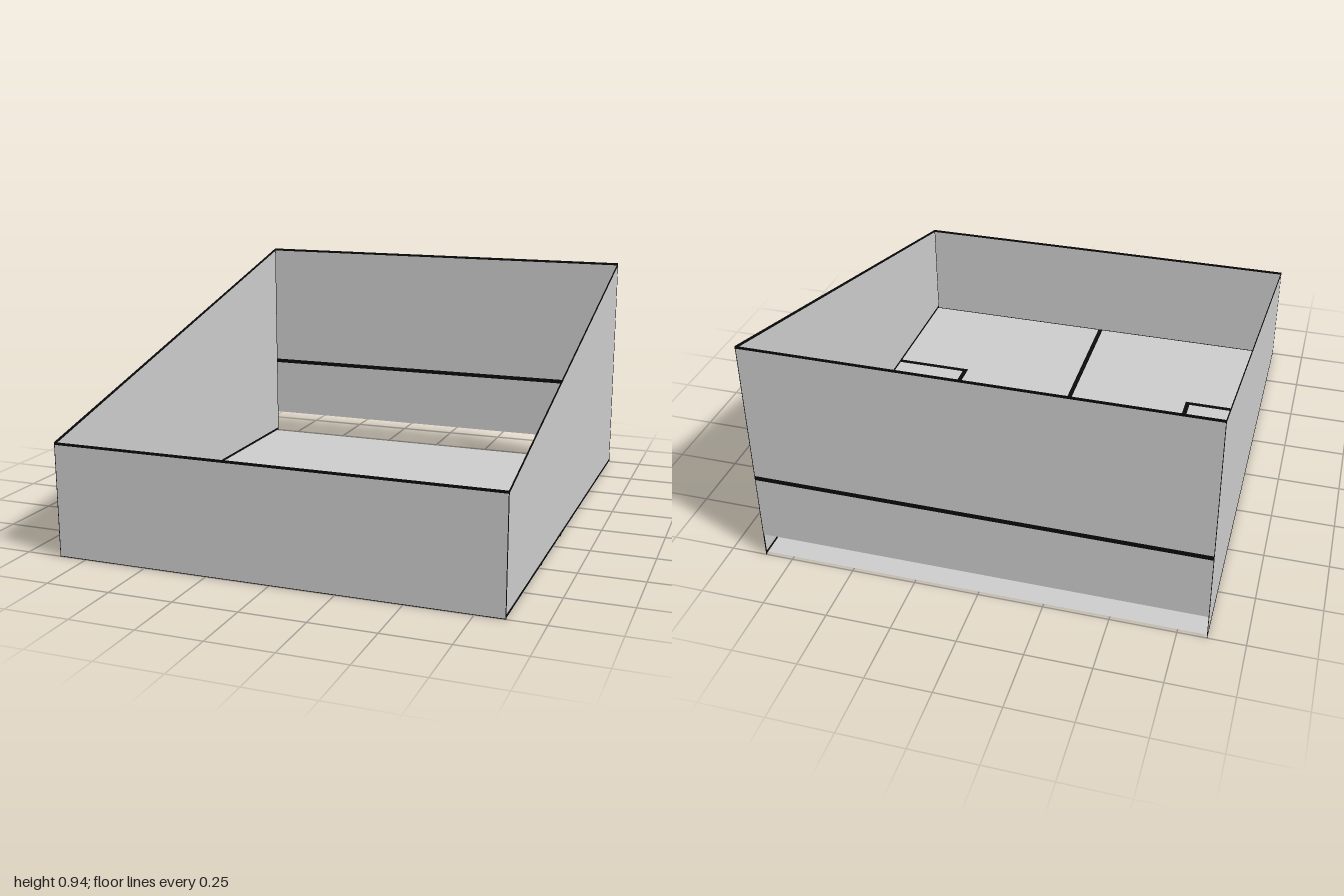
import * as THREE from 'three';

const W = 0.86, FRONT = 0.445, BACK = 0.945, GAP = 0.1;

export function createModel() {
  const model = new THREE.Group();
  const grey = new THREE.MeshStandardMaterial({ color: 0xcccccc, side: THREE.DoubleSide });
  const dark = new THREE.MeshStandardMaterial({ color: 0x0a0a0a });

  const add = (name, geometry, material) => {
    const mesh = new THREE.Mesh(geometry, material);
    mesh.name = name;
    model.add(mesh);
    return mesh;
  };
  // Thin dark seam, a very flat box
  const seam = (name, w, h, d, x, y, z) =>
    add(name, new THREE.BoxGeometry(w, h, d).translate(x, y, z), dark);
  const T = 0.002;

  // Floor, stopping just short of the back wall
  add('floor', new THREE.PlaneGeometry(2 * W, 1.985).rotateX(-Math.PI / 2).translate(0, 0.001, 0.0075), grey);

  // Front wall, and back wall with an open slot beneath it
  add('frontWall', new THREE.PlaneGeometry(2 * W, FRONT).translate(0, FRONT / 2, 0.999), grey);
  add('backWall', new THREE.PlaneGeometry(2 * W, BACK - GAP)
    .rotateY(Math.PI).translate(0, (BACK + GAP) / 2, -0.999), grey);

  // Sloping side walls with dark borders
  const outline = [[-1, 0], [1, 0], [1, FRONT], [-1, BACK]].map(p => new THREE.Vector2(...p));
  const slope = Math.atan2(BACK - FRONT, 2);
  for (const [side, s] of [['left', 1], ['right', -1]]) {
    const wall = new THREE.ShapeGeometry(new THREE.Shape(outline)).rotateY(-Math.PI / 2);
    add(side + 'SideWall', wall.translate(s * (W - 0.001), 0, 0), grey);
    const x = s * (W - 0.001);
    seam(side + 'BottomBorder', T, 0.01, 2, x, 0.009, 0);
    seam(side + 'FrontBorder', T, FRONT, 0.005, x, FRONT / 2, 0.9975);
    seam(side + 'BackBorder', T, BACK, 0.005, x, BACK / 2, -0.9975);
    const top = seam(side + 'TopBorder', T, 0.01, Math.hypot(2, BACK - FRONT), 0, 0, 0);
    top.rotation.x = slope;
    top.position.set(x, (FRONT + BACK) / 2 - 0.005, 0);

    // Corner cut-out seams on the floor
    seam(side + 'NotchSide', 0.02, T, 0.36, s * 0.535, 0.001, 0.29);
    seam(side + 'NotchFront', W - 0.525, T, 0.02, s * (W + 0.525) / 2, 0.001, 0.46);
  }

  // Seams across the floor and walls
  seam('floorCrossSeam', 2 * W, T, 0.02, 0, 0.001, 0.12);
  seam('floorCentreSeam', 0.02, T, 0.88, 0, 0.001, 0.56);
  seam('floorFrontBorder', 2 * W, T, 0.005, 0, 0.001, 0.9975);
  seam('frontTopBorder', 2 * W, 0.01, T, 0, FRONT - 0.005, 0.999);
  seam('backTopBorder', 2 * W, 0.01, T, 0, BACK - 0.005, -0.999);
  seam('backWallSeam', 2 * W, 0.018, T, 0, 0.37, -0.999);

  return model;
}
